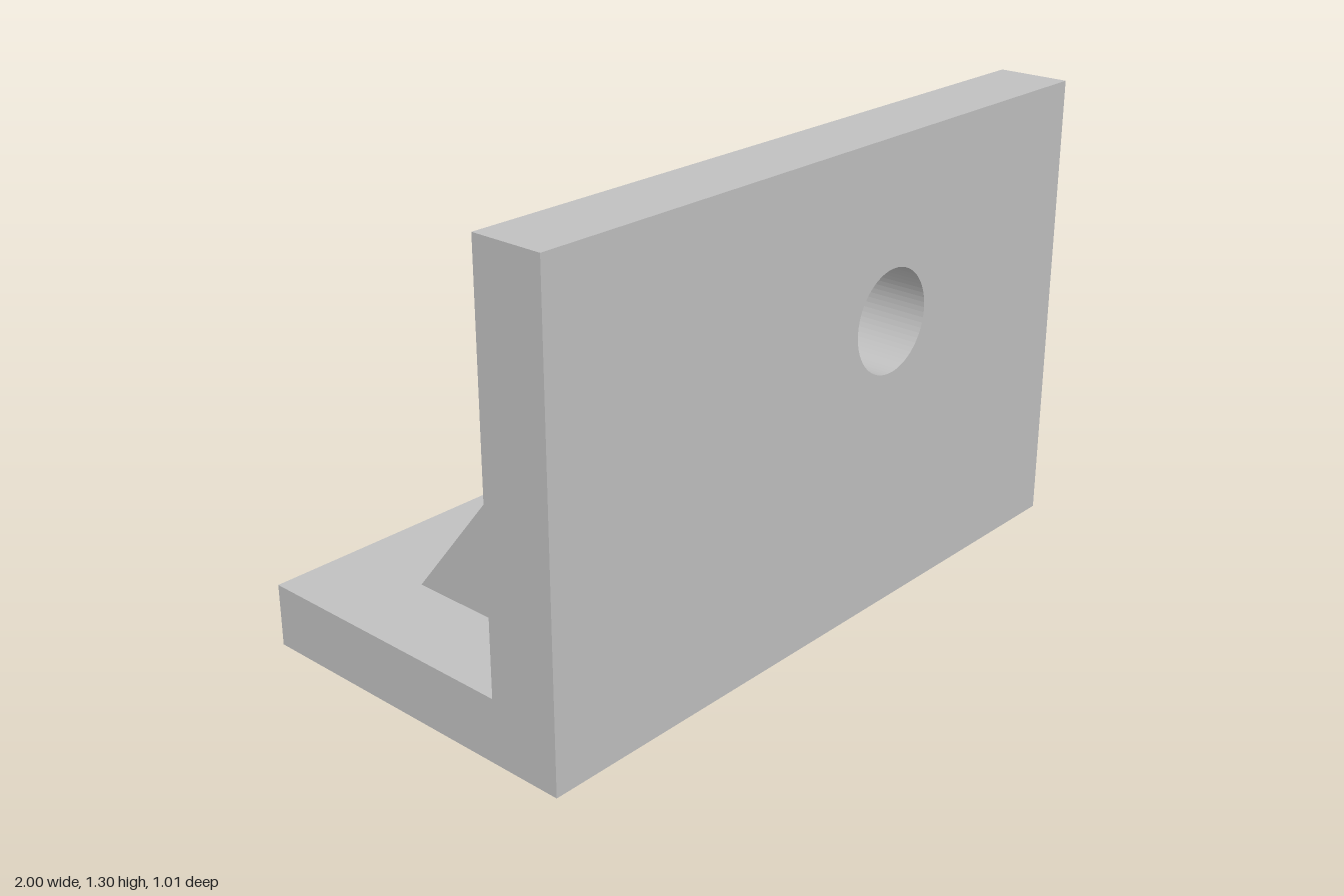
import * as THREE from 'three';

export function createModel() {
  const group = new THREE.Group();
  const grey = new THREE.MeshStandardMaterial({ color: 0xc0c0c0 });
  grey.name = 'plain grey';

  const W = 2, H = 1.3, zFront = 0.507, zWall = 0.302, baseH = 0.175;

  const add = (name, geometry) => {
    const mesh = new THREE.Mesh(geometry, grey);
    mesh.name = name;
    group.add(mesh);
  };

  // Upright plate with a round through hole
  const wall = new THREE.Shape([
    new THREE.Vector2(-W / 2, 0), new THREE.Vector2(W / 2, 0),
    new THREE.Vector2(W / 2, H), new THREE.Vector2(-W / 2, H),
  ]);
  wall.holes.push(new THREE.Path().absarc(0.225, 0.81, 0.143, 0, Math.PI * 2, true));
  add('uprightPlate', new THREE.ExtrudeGeometry(wall, {
    depth: zFront - zWall, bevelEnabled: false, curveSegments: 32,
  }).translate(0, 0, zWall));

  // Horizontal foot plate behind the upright
  const depth = zWall + zFront;
  add('basePlate', new THREE.BoxGeometry(W, baseH, depth)
    .translate(0, baseH / 2, zWall - depth / 2));

  // Triangular stiffening rib, drawn in (z, y) and turned to run along x
  const rib = new THREE.Shape([
    new THREE.Vector2(-0.235, baseH), new THREE.Vector2(zWall, baseH),
    new THREE.Vector2(zWall, 0.835),
  ]);
  add('gussetRib', new THREE.ExtrudeGeometry(rib, { depth: 0.173, bevelEnabled: false })
    .rotateY(-Math.PI / 2).translate(-0.58, 0, 0));

  return group;
}
